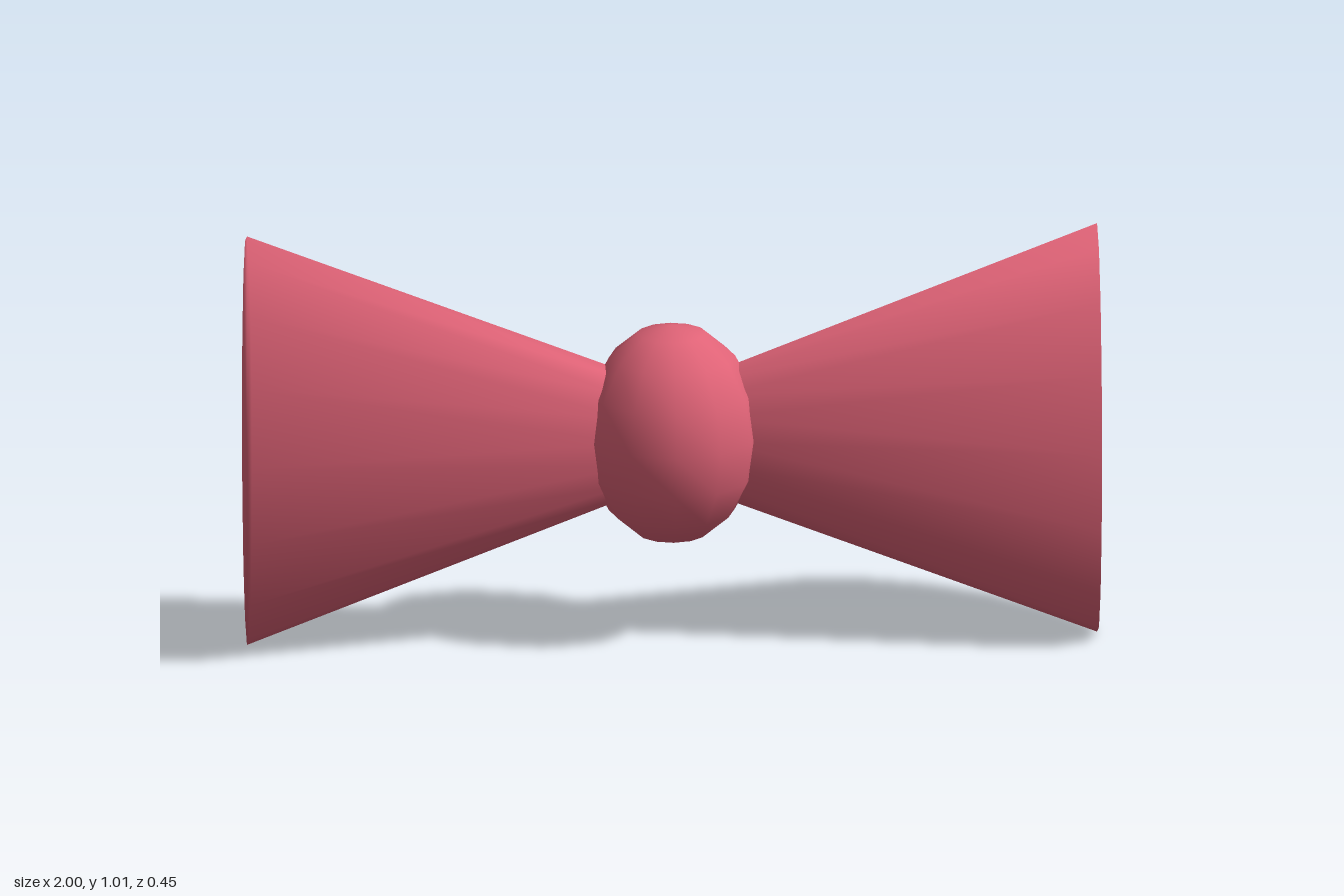
import * as THREE from 'three';
import { mergeVertices } from 'three/addons/utils/BufferGeometryUtils.js';

const CENTER_Y = 0.504;
const INNER_X = 0.1;
const OUTER_X = 1;

// Flat oval cone, closed at both ends, shaded smoothly over its rims
function wingGeometry() {
  const geo = new THREE.CylinderGeometry(0.152, 0.503, OUTER_X - INNER_X, 16);
  geo.rotateZ(Math.PI / 2); // wide end towards +x
  geo.scale(1, 1, 0.447);
  geo.translate((INNER_X + OUTER_X) / 2, 0, 0);
  geo.deleteAttribute('normal');
  geo.deleteAttribute('uv');
  geo.clearGroups();
  const smooth = mergeVertices(geo, 1e-4);
  smooth.computeVertexNormals();
  return smooth;
}

export function createModel() {
  const model = new THREE.Group();
  model.name = 'bowTie';

  const fabric = new THREE.MeshStandardMaterial({ color: 0xe06377 });
  fabric.name = 'rose fabric';

  // Two flared wings
  const geo = wingGeometry();
  for (const [name, turn] of [['leftWing', 0], ['rightWing', Math.PI]]) {
    const wing = new THREE.Mesh(geo, fabric);
    wing.name = name;
    wing.rotation.y = turn;
    wing.position.y = CENTER_Y;
    model.add(wing);
  }

  // Central knot
  const knot = new THREE.Mesh(new THREE.SphereGeometry(1, 12, 8), fabric);
  knot.name = 'knot';
  knot.scale.set(0.21, 0.266, 0.21);
  knot.position.y = CENTER_Y + 0.003;
  model.add(knot);

  return model;
}
